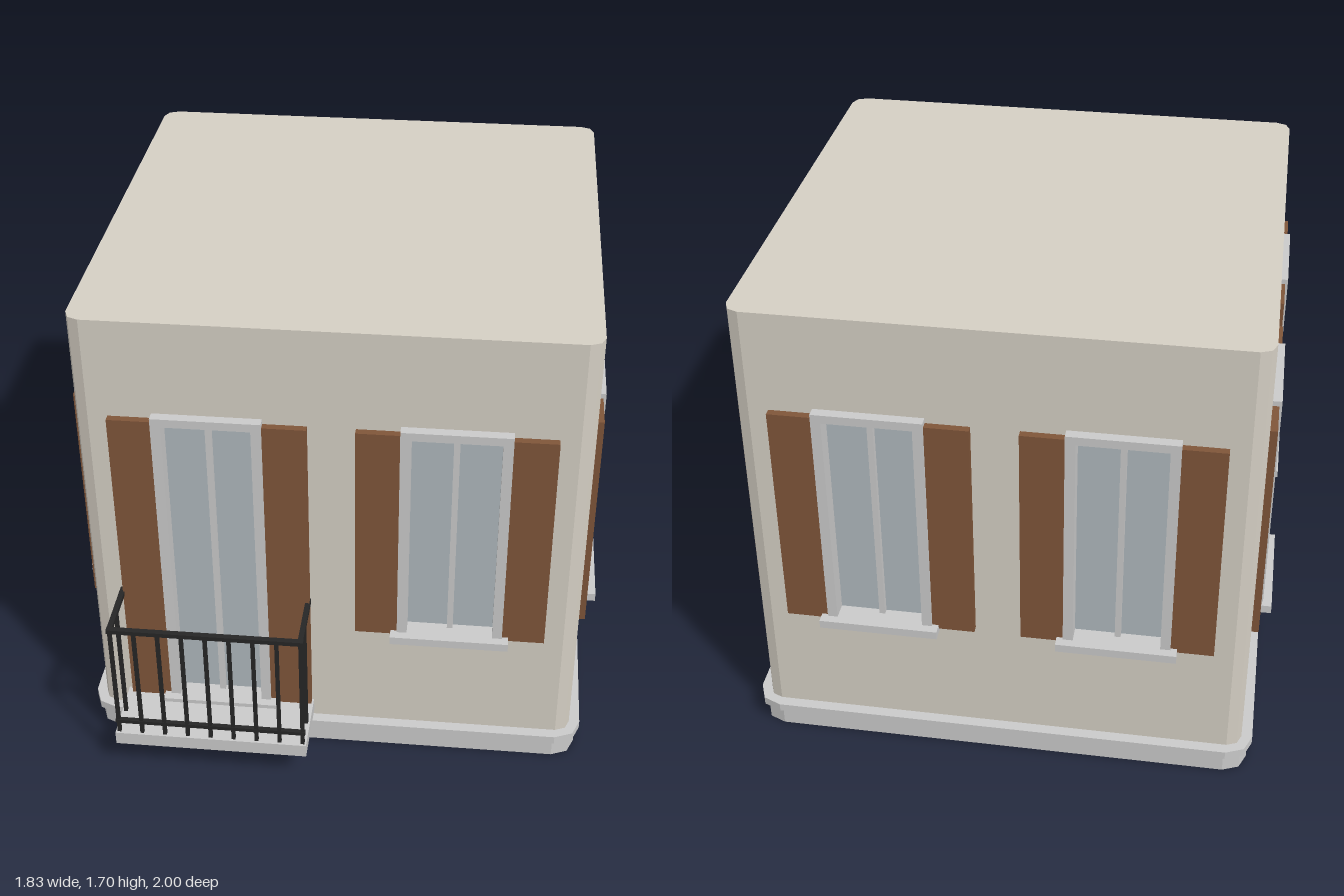
import * as THREE from 'three';

const material = (color, extra = {}) =>
  new THREE.MeshStandardMaterial({ color, flatShading: true, ...extra });
const WALL = material(0xd6d0c5, { side: THREE.DoubleSide });
const TRIM = material(0xdcdcd9);
const WOOD = material(0x80563a);
const GLASS = material(0xb0b9be);
const IRON = material(0x262626);

const HALF = 0.8475;      // half the width of the building
const CORNER = 0.05;      // radius of the wall corners
const WINDOW_X = 0.405;   // distance of each window from the middle of a wall
const OPENING = 0.147;    // half the width of an opening
const HEAD = 1.335;       // top of every opening
const RECESS = 0.03;

function add(parent, name, geometry, mat, x = 0, y = 0, z = 0) {
  const mesh = new THREE.Mesh(geometry, mat);
  mesh.name = name;
  mesh.position.set(x, y, z);
  parent.add(mesh);
  return mesh;
}

// Box given by its limits on each axis
function box(parent, name, mat, [x0, x1], [y0, y1], [z0, z1]) {
  return add(parent, name, new THREE.BoxGeometry(x1 - x0, y1 - y0, z1 - z0), mat,
    (x0 + x1) / 2, (y0 + y1) / 2, (z0 + z1) / 2);
}

function rectangle(x0, x1, y0, y1, Type = THREE.Shape) {
  return new Type([[x0, y0], [x1, y0], [x1, y1], [x0, y1]].map(p => new THREE.Vector2(...p)));
}

// Square outline with two-facet corners
function footprint(h, r) {
  const s = new THREE.Shape();
  const c = h - r;
  s.absarc(c, c, r, 0, Math.PI / 2);
  s.absarc(-c, c, r, Math.PI / 2, Math.PI);
  s.absarc(-c, -c, r, Math.PI, Math.PI * 1.5);
  s.absarc(c, -c, r, Math.PI * 1.5, Math.PI * 2);
  return s;
}

function slab(parent, name, h, r, y0, y1) {
  const g = new THREE.ExtrudeGeometry(footprint(h, r),
    { depth: y1 - y0, bevelEnabled: false, curveSegments: 1 });
  g.rotateX(-Math.PI / 2);
  return add(parent, name, g, TRIM, 0, y0, 0);
}

// Window or tall balcony door, with z = 0 on the wall face
function makeWindow(isDoor) {
  const group = new THREE.Group();
  group.name = isDoor ? 'balconyDoor' : 'window';
  const bottom = isDoor ? 0.17 : 0.525;
  const sillTop = isDoor ? 0.185 : 0.54;
  const outer = OPENING + 0.034;

  // Frame lining the opening
  const frame = rectangle(-outer, outer, bottom, HEAD + 0.03);
  frame.holes.push(rectangle(-OPENING, OPENING, bottom + 0.005, HEAD, THREE.Path));
  add(group, 'frame', new THREE.ExtrudeGeometry(frame, { depth: 0.035 + RECESS, bevelEnabled: false }),
    TRIM, 0, 0, -RECESS);

  // Panes and centre bar
  box(group, 'glass', GLASS, [-OPENING - 0.005, OPENING + 0.005], [bottom, HEAD + 0.005],
    [-RECESS - 0.01, -RECESS + 0.005]);
  box(group, 'mullion', TRIM, [-0.01, 0.01], [bottom, HEAD], [-RECESS, -0.005]);

  // Sill with small brackets
  box(group, 'sill', TRIM, [-0.203, 0.203], [sillTop - 0.03, sillTop], [-RECESS, 0.065]);

  for (const s of [-1, 1]) {
    if (!isDoor) {
      add(group, 'sillBracket', new THREE.BoxGeometry(0.04, 0.02, 0.045), TRIM,
        s * 0.16, 0.513, 0.0225);
    }
    add(group, 'shutter', new THREE.BoxGeometry(0.145, 1.347 - bottom, 0.026), WOOD,
      s * (outer + 0.0725), (1.347 + bottom) / 2, 0.013);
  }
  return group;
}

// One wall face with its two openings
function makeSide(isFront) {
  const side = new THREE.Group();
  side.name = isFront ? 'frontSide' : 'side';
  const w = HALF - CORNER;
  const shape = rectangle(-w, w, 0.09, 1.7);
  for (const s of [-1, 1]) {
    const isDoor = isFront && s < 0;
    const x = s * WINDOW_X;
    const o = OPENING + 0.01;
    shape.holes.push(rectangle(x - o, x + o, isDoor ? 0.175 : 0.53, HEAD + 0.01, THREE.Path));
    const unit = makeWindow(isDoor);
    unit.position.set(x, 0, HALF);
    side.add(unit);
  }
  add(side, 'wall', new THREE.ExtrudeGeometry(shape, { depth: 0.04, bevelEnabled: false }),
    WALL, 0, 0, HALF - 0.04);

  // Faceted corner beside the wall
  add(side, 'wallCorner',
    new THREE.CylinderGeometry(CORNER, CORNER, 1.61, 2, 1, true, 0, Math.PI / 2),
    WALL, w, 0.895, w);
  return side;
}

// Balcony slab and railing, with z = 0 on the wall face
function makeBalcony() {
  const balcony = new THREE.Group();
  balcony.name = 'balcony';
  const reach = 0.335;
  const zFront = 0.225;
  box(balcony, 'balconySlab', TRIM, [-0.338, 0.338], [0.12, 0.17], [-0.01, 0.24]);
  box(balcony, 'topRail', IRON, [-reach, reach], [0.62, 0.636], [zFront - 0.01, zFront + 0.01]);
  box(balcony, 'bottomRail', IRON, [-reach, reach], [0.212, 0.226], [zFront - 0.008, zFront + 0.008]);

  const bar = new THREE.BoxGeometry(0.013, 0.455, 0.013);
  for (let i = 0; i < 9; i++) {
    add(balcony, 'baluster', bar, IRON, -0.325 + i * 0.65 / 8, 0.395, zFront);
  }
  for (const s of [-1, 1]) {
    const x = s * 0.325;
    box(balcony, 'sideRail', IRON, [x - 0.009, x + 0.009], [0.62, 0.636], [0, zFront]);
    add(balcony, 'sideBaluster', bar, IRON, x, 0.395, 0.122);
  }
  return balcony;
}

export function createModel() {
  const model = new THREE.Group();
  model.name = 'houseStorey';
  const house = new THREE.Group();
  house.name = 'house';
  house.position.z = -0.0875;
  model.add(house);

  // Plinth and ledge
  slab(house, 'plinth', HALF + 0.022, 0.08, 0, 0.07);
  slab(house, 'ledge', HALF + 0.038, 0.09, 0.07, 0.1);

  // Four sides
  for (let i = 0; i < 4; i++) {
    const side = makeSide(i === 0);
    side.rotation.y = i * Math.PI / 2;
    house.add(side);
  }

  // Flat roof
  const roof = new THREE.ShapeGeometry(footprint(HALF, CORNER), 1);
  roof.rotateX(-Math.PI / 2);
  add(house, 'roof', roof, WALL, 0, 1.7, 0);

  const balcony = makeBalcony();
  balcony.position.set(-0.41, 0, HALF);
  house.add(balcony);
  return model;
}
